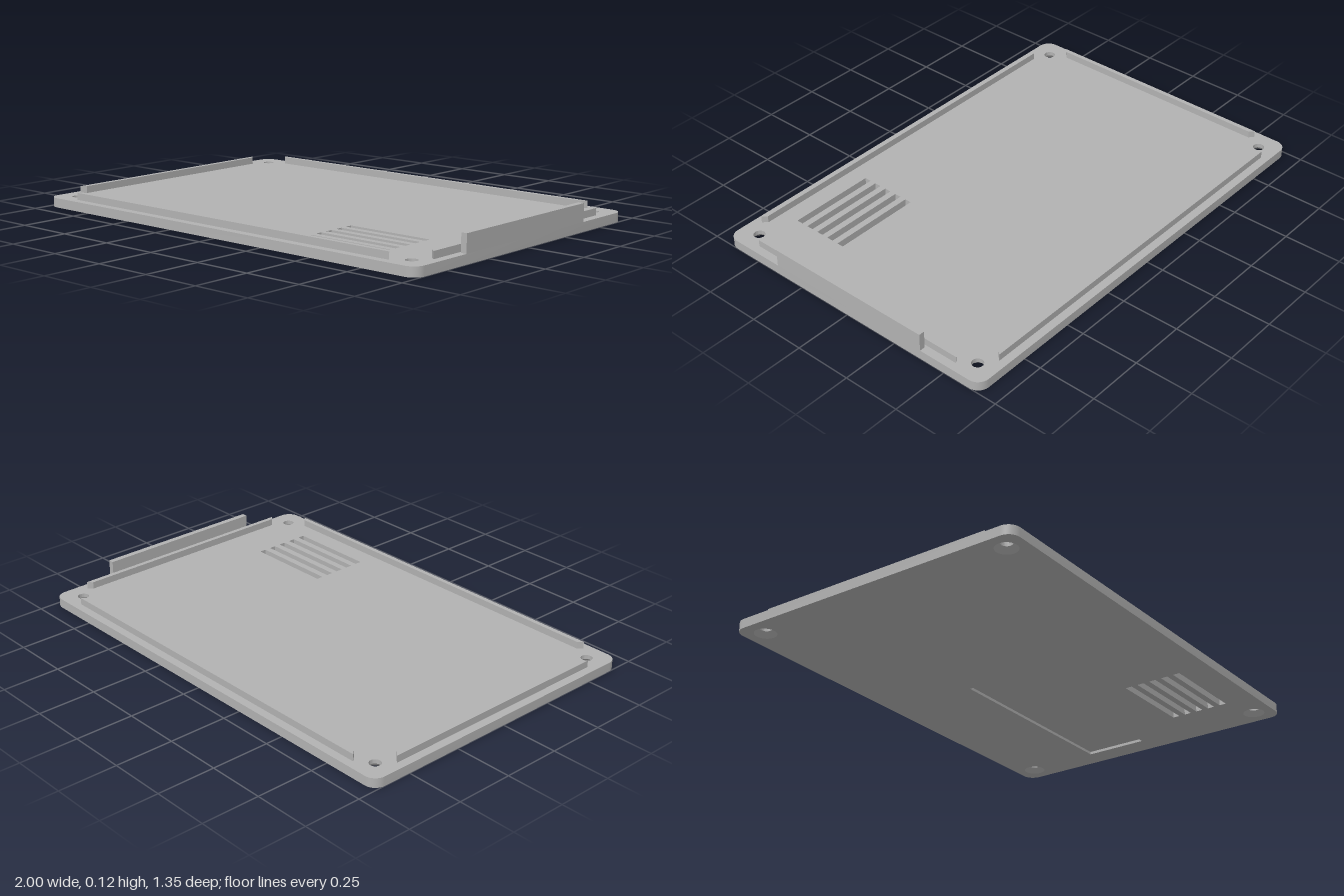
import * as THREE from 'three';
import { toCreasedNormals, mergeGeometries } from 'three/addons/utils/BufferGeometryUtils.js';

const T = 0.04;        // panel thickness
const RECESS = 0.012;  // depth of the underside recess
const LIP = 0.07;      // top of the locating lips

// Loops are counter-clockwise lists of [x, -z]
const rect = (x0, x1, z0, z1) => [[x0, -z1], [x1, -z1], [x1, -z0], [x0, -z0]];

function circle(cx, cz, r, n = 32) {
  return Array.from({ length: n }, (_, i) => {
    const a = (i / n) * Math.PI * 2;
    return [cx + r * Math.cos(a), -cz + r * Math.sin(a)];
  });
}

function roundedRect(w, d, r, n = 8) {
  const pts = [];
  [[1, 1], [-1, 1], [-1, -1], [1, -1]].forEach(([sx, sy], q) => {
    for (let i = 0; i <= n; i++) {
      const a = (q + i / n) * Math.PI / 2;
      pts.push([sx * (w - r) + r * Math.cos(a), sy * (d - r) + r * Math.sin(a)]);
    }
  });
  return pts;
}

// Side surface between two matching loops; inward flips it for openings
function wall(low, y0, high, y1, inward = false) {
  const pos = [];
  const add = ([x, s], y) => pos.push(x, y, -s);
  low.forEach((a, i) => {
    const j = (i + 1) % low.length;
    const q = [[a, y0], [low[j], y0], [high[j], y1], [high[i], y1]];
    const order = inward ? [0, 2, 1, 0, 3, 2] : [0, 1, 2, 0, 2, 3];
    order.forEach(k => add(...q[k]));
  });
  const g = new THREE.BufferGeometry();
  g.setAttribute('position', new THREE.Float32BufferAttribute(pos, 3));
  return g;
}

// Flat horizontal face with openings, facing up or down
function face(loop, holes, y, down = false) {
  const vec = l => l.map(p => new THREE.Vector2(...p));
  const shape = new THREE.Shape(vec(loop));
  holes.forEach(h => shape.holes.push(new THREE.Path(vec(h))));
  const g = new THREE.ShapeGeometry(shape);
  if (down) g.setIndex(Array.from(g.index.array).reverse());
  g.rotateX(-Math.PI / 2).translate(0, y, 0);
  const flat = g.toNonIndexed();
  flat.deleteAttribute('uv');
  flat.deleteAttribute('normal');
  return flat;
}

export function createModel() {
  const group = new THREE.Group();
  const grey = new THREE.MeshStandardMaterial({ color: 0xb2b2b2 });
  grey.name = 'grey plastic';

  const add = (name, parts) => {
    const mesh = new THREE.Mesh(toCreasedNormals(mergeGeometries(parts), 0.6), grey);
    mesh.name = name;
    group.add(mesh);
  };
  const prism = (name, loop, y0, y1) => add(name, [wall(loop, y0, loop, y1), face(loop, [], y1)]);

  // Openings: corner screw holes, vent slots and the underside recess
  const corners = [[1, 1], [1, -1], [-1, 1], [-1, -1]].map(([x, z]) => [x * 0.912, z * 0.588]);
  const bores = corners.map(([x, z]) => circle(x, z, 0.024));
  const sinks = corners.map(([x, z]) => circle(x, z, 0.046));
  const slots = Array.from({ length: 5 }, (_, i) => {
    const z = 0.292 + i * 0.058;
    return rect(0.36, 0.75, z - 0.015, z + 0.015);
  });
  const recess = rect(-0.02, 0.9, -0.26, 0.02);

  // Panel
  const outline = roundedRect(1, 0.675, 0.05);
  add('panel', [
    wall(outline, 0, outline, T),
    face(outline, [...bores, ...slots], T),
    face(outline, [...sinks, ...slots, recess], 0, true),
  ]);
  add('ventSlots', slots.map(s => wall(s, 0, s, T, true)));
  add('labelRecess', [wall(recess, 0, recess, RECESS, true), face(recess, [], RECESS, true)]);

  // Countersunk screw holes
  corners.forEach((_, i) => add('screwHole', [
    wall(sinks[i], 0, bores[i], 0.022, true),
    wall(bores[i], 0.022, bores[i], T, true),
  ]));

  // Locating lips with mitred ends, longer on the outer side
  const lip = (name, half, dist, turn) => {
    const trap = [[-half, -dist], [half, -dist], [half - 0.018, -dist + 0.02], [-half + 0.018, -dist + 0.02]];
    const c = Math.round(Math.cos(turn)), s = Math.round(Math.sin(turn));
    prism(name, trap.map(([x, y]) => [x * c - y * s, x * s + y * c]), T, LIP);
  };
  lip('frontLip', 0.852, 0.64, 0);
  lip('leftLip', 0.53, 0.964, Math.PI / 2);
  lip('backLip', 0.852, 0.64, Math.PI);
  lip('rightLip', 0.53, 0.964, -Math.PI / 2);

  // Tall tab flush with the left edge
  prism('sideTab', rect(0.975, 1, -0.383, 0.383), T, 0.116);

  return group;
}
